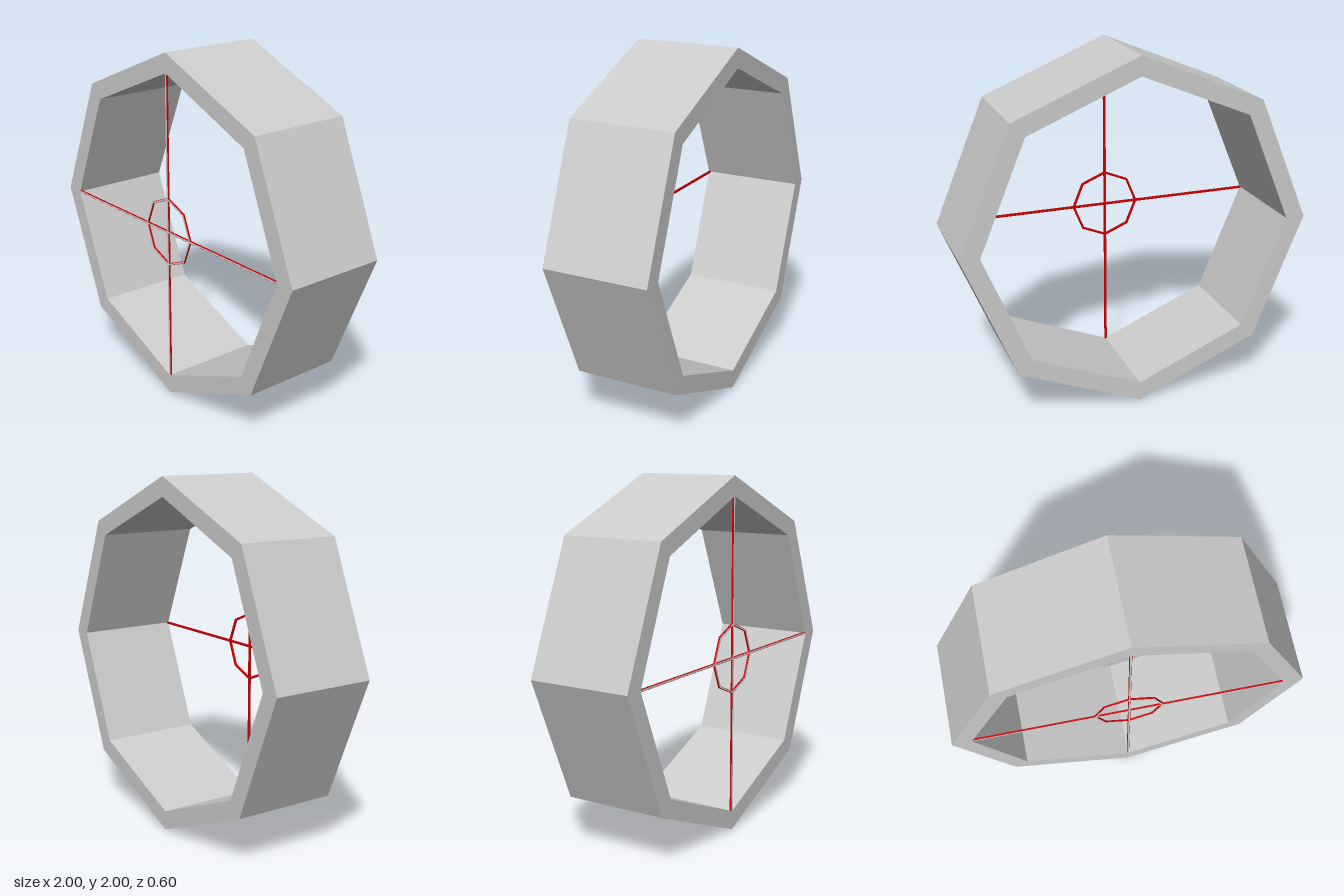
import * as THREE from 'three';

const SIDES = 8;
const FRONT = 0.3;

const grey = new THREE.MeshStandardMaterial({ color: 0xcccccc, flatShading: true });
const red = new THREE.MeshStandardMaterial({ color: 0xcc0000, flatShading: true });

// Octagon corners, with one corner pointing straight up
function octagon(radius) {
  return Array.from({ length: SIDES }, (_, i) => {
    const a = (i / SIDES) * Math.PI * 2;
    return new THREE.Vector2(Math.cos(a) * radius, Math.sin(a) * radius);
  });
}

// Octagonal ring running from zBack to zFront
function ring(name, outer, inner, zBack, zFront, material) {
  const shape = new THREE.Shape(octagon(outer));
  shape.holes.push(new THREE.Path(octagon(inner).reverse()));
  const geometry = new THREE.ExtrudeGeometry(shape, { depth: zFront - zBack, bevelEnabled: false });
  geometry.translate(0, 0, zBack);
  const mesh = new THREE.Mesh(geometry, material);
  mesh.name = name;
  return mesh;
}

// Thin cross hair line through the centre
function bar(name, width, height, zBack, zFront, material) {
  const mesh = new THREE.Mesh(new THREE.BoxGeometry(width, height, zFront - zBack), material);
  mesh.position.z = (zBack + zFront) / 2;
  mesh.name = name;
  return mesh;
}

// Cross hair with its small centre ring
function reticle(name, thickness, zBack, zFront, material) {
  const group = new THREE.Group();
  group.name = name;
  const length = 1.78;
  const middle = 0.193;
  group.add(
    bar('verticalLine', thickness, length, zBack, zFront, material),
    bar('horizontalLine', length, thickness, zBack, zFront, material),
    ring('centreRing', middle + thickness / 2, middle - thickness / 2, zBack, zFront, material)
  );
  return group;
}

export function createModel() {
  const model = new THREE.Group();
  model.name = 'octagonalSight';
  model.position.y = 1;

  // Thick open tube
  model.add(ring('tube', 1, 0.89, -FRONT, FRONT, grey));

  // Red reticle set in the front opening, with a narrower grey face
  model.add(reticle('reticleBack', 0.013, FRONT - 0.012, FRONT - 0.002, red));
  model.add(reticle('reticleFace', 0.009, FRONT - 0.002, FRONT, grey));

  const root = new THREE.Group();
  root.name = 'sight';
  root.add(model);
  return root;
}
